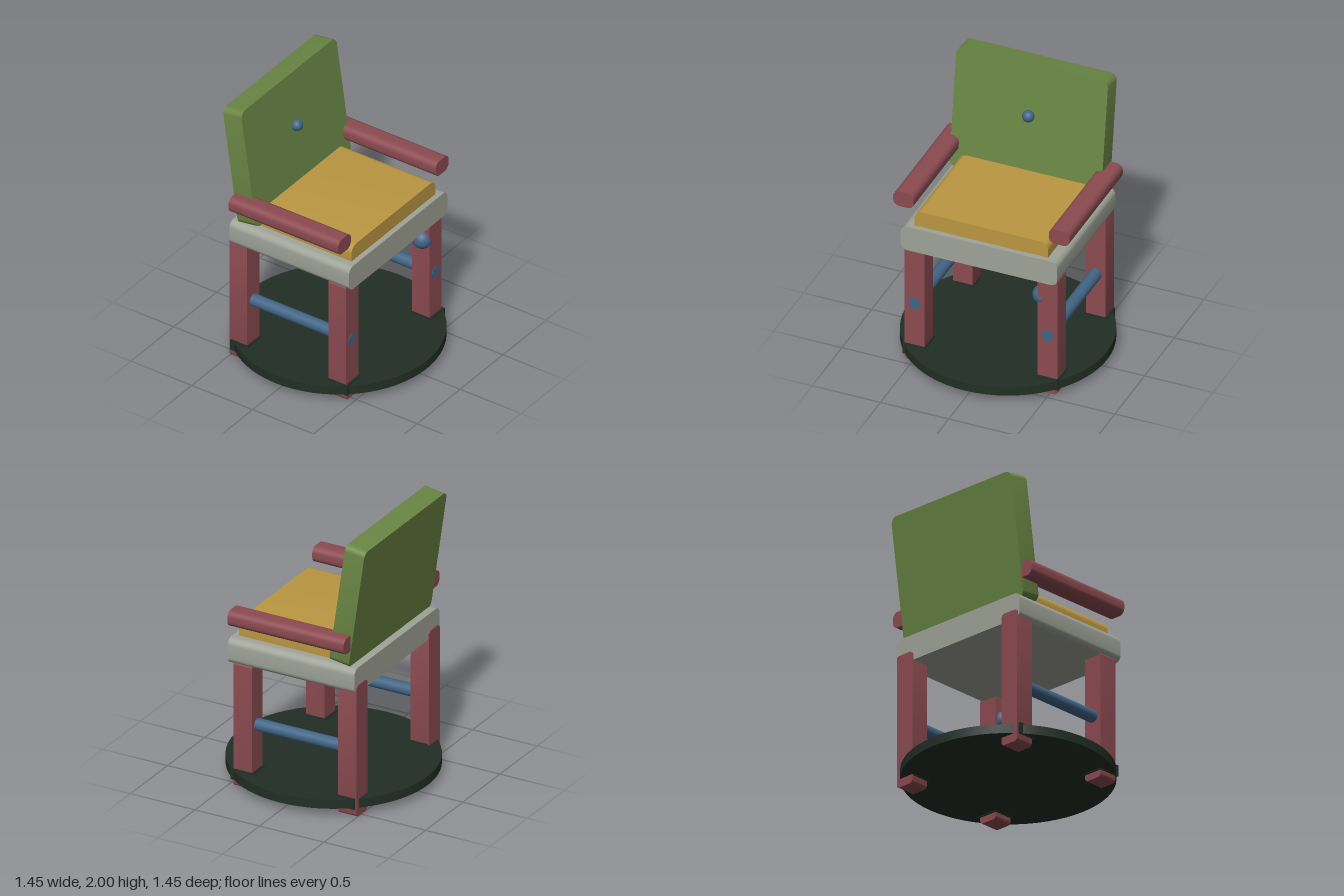
import * as THREE from 'three';
import { toCreasedNormals } from 'three/addons/utils/BufferGeometryUtils.js';

function material(name, color) {
  const m = new THREE.MeshStandardMaterial({ color });
  m.name = name;
  return m;
}

// Bar with a rounded front outline, straight along z, centred on the origin
function roundedBar(w, h, d, r) {
  const x = w / 2, y = h / 2;
  const s = new THREE.Shape();
  s.moveTo(-x + r, -y);
  s.lineTo(x - r, -y);
  s.absarc(x - r, -y + r, r, -Math.PI / 2, 0);
  s.lineTo(x, y - r);
  s.absarc(x - r, y - r, r, 0, Math.PI / 2);
  s.lineTo(-x + r, y);
  s.absarc(-x + r, y - r, r, Math.PI / 2, Math.PI);
  s.lineTo(-x, -y + r);
  s.absarc(-x + r, -y + r, r, Math.PI, Math.PI * 1.5);
  const g = new THREE.ExtrudeGeometry(s, { depth: d, bevelEnabled: false, curveSegments: 8 });
  g.translate(0, 0, -d / 2);
  return toCreasedNormals(g, 0.6);
}

export function createModel() {
  const model = new THREE.Group();
  model.name = 'chair';
  const green = material('backrest green', 0x6a8644);
  const red = material('dusty red', 0x8b4b51);
  const gold = material('cushion gold', 0xbb9742);
  const grey = material('frame grey', 0x9fa397);
  const blue = material('steel blue', 0x426586);
  const dark = material('dark green', 0x222f25);

  function add(name, geometry, mat, x, y, z) {
    const mesh = new THREE.Mesh(geometry, mat);
    mesh.name = name;
    mesh.position.set(x, y, z);
    model.add(mesh);
    return mesh;
  }
  // Rounded bar placed by its limits
  const bar = (name, mat, x0, x1, y0, y1, z0, z1, r) =>
    add(name, roundedBar(x1 - x0, y1 - y0, z1 - z0, r), mat,
      (x0 + x1) / 2, (y0 + y1) / 2, (z0 + z1) / 2);

  // Round platform crossed by the legs
  add('platform', new THREE.CylinderGeometry(0.727, 0.727, 0.066, 64), dark, 0, 0.094, 0);

  // Seat frame and cushion
  bar('seatFrame', grey, -0.573, 0.573, 0.912, 1.1, -0.49, 0.492, 0.05);
  bar('cushion', gold, -0.49, 0.49, 1.04, 1.217, -0.36, 0.453, 0.06);

  // Tilted backrest with its button
  const back = add('backrest', roundedBar(1.11, 0.9, 0.152, 0.05), green, 0, 1.547, -0.421);
  back.rotation.x = -0.142;
  add('backButton', new THREE.SphereGeometry(0.042, 24, 16), blue, 0, 1.625, -0.34);

  for (const [side, s] of [['left', 1], ['right', -1]]) {
    // Legs and the collars that hold them in the platform
    const lx = s * 0.487;
    bar(side + 'FrontLeg', red, lx - 0.072, lx + 0.072, 0.007, 0.93, 0.312, 0.456, 0.025);
    bar(side + 'BackLeg', red, lx - 0.072, lx + 0.072, 0, 0.975, -0.5, -0.356, 0.025);
    add(side + 'FrontCollar', new THREE.BoxGeometry(0.164, 0.08, 0.176), dark, lx, 0.096, 0.386);
    add(side + 'BackCollar', new THREE.BoxGeometry(0.164, 0.08, 0.146), dark, lx, 0.096, -0.415);

    // Stretcher rod, its end flush with the front of the leg
    const rod = new THREE.CylinderGeometry(0.044, 0.044, 0.858, 24);
    rod.rotateX(Math.PI / 2);
    add(side + 'Stretcher', rod, blue, lx, 0.47, 0.03);

    // Armrest
    bar(side + 'Armrest', red, s * 0.57 - 0.075, s * 0.57 + 0.075, 1.225, 1.341, -0.448, 0.452, 0.045);
  }

  // Knob set into the inner side of the left front leg
  add('legKnob', new THREE.SphereGeometry(0.07, 24, 16), blue, 0.424, 0.75, 0.391);

  return model;
}
